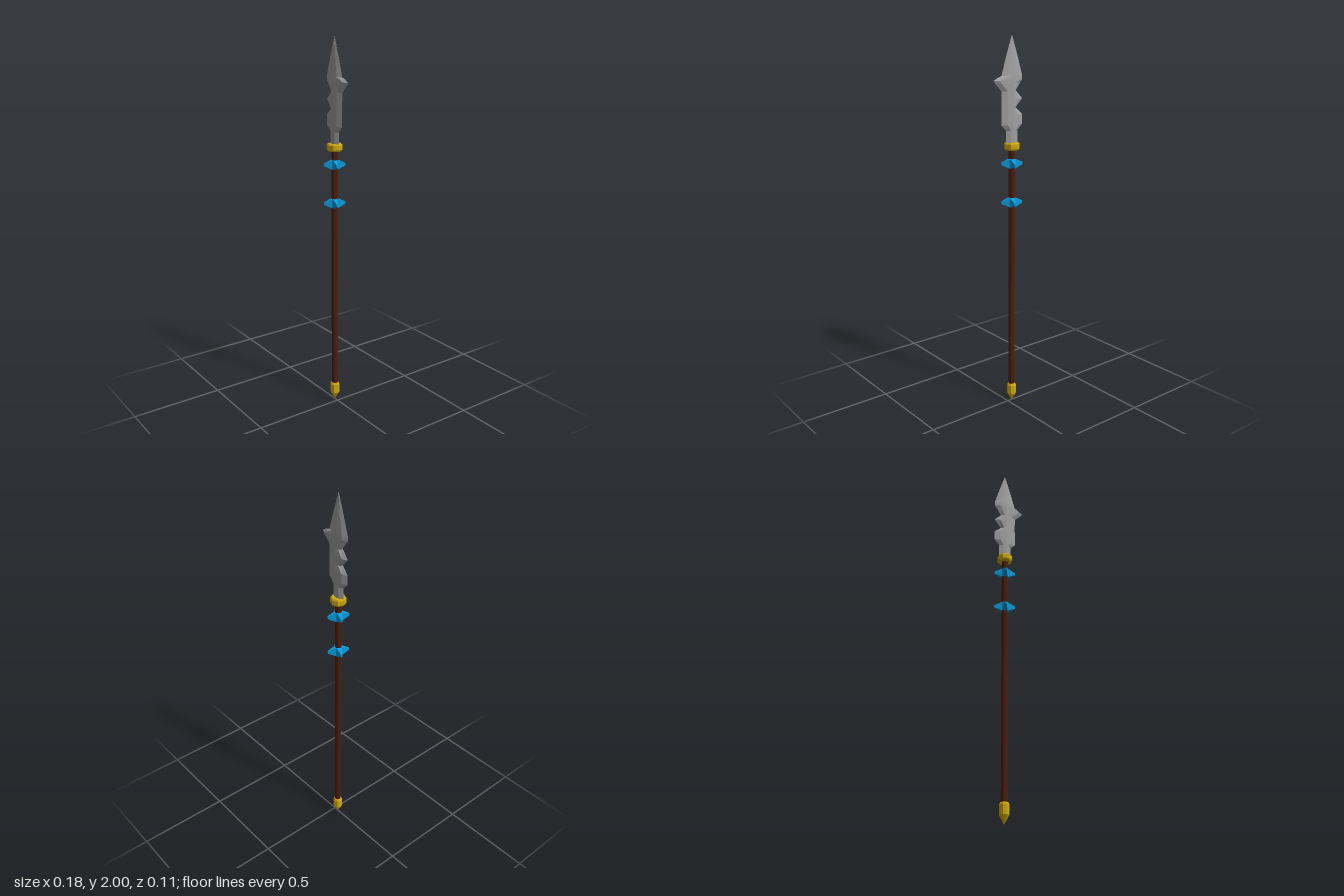
import * as THREE from 'three';

const AXIS_X = -0.026; // the shaft sits a little off centre because of the side barb

function material(name, color) {
  const m = new THREE.MeshStandardMaterial({ color });
  m.name = name;
  m.flatShading = true;
  return m;
}

// Lofted blade: each row is [y, left edge, right edge, half thickness]
function bladeGeometry() {
  const rows = [
    [1.455, -0.063, 0.011, 0.017],
    [1.525, -0.063, 0.011, 0.018],
    [1.555, -0.093, 0.04, 0.018],
    [1.605, -0.093, 0.04, 0.018],
    [1.642, -0.052, 0.04, 0.018],
    [1.685, -0.093, 0.04, 0.018],
    [1.727, -0.052, 0.042, 0.018],
    [1.766, -0.08, 0.08, 0.018],
    [1.78, -0.093, 0.09, 0.018],
    [1.795, -0.093, 0.063, 0.018],
    [1.803, -0.092, 0.04, 0.018],
    [1.9, -0.062, 0.01, 0.01],
    [2.0, -0.027, -0.025, 0.001],
  ];
  const pos = [], index = [], N = 8;
  for (const [y, l, r, d] of rows) {
    const bl = l + Math.min(0.03, (AXIS_X - l) * 0.55);
    const br = r - Math.min(0.03, (r - AXIS_X) * 0.55);
    const t = d * 0.75;
    const ring = [[l, 0], [bl, t], [AXIS_X, d], [br, t], [r, 0], [br, -t], [AXIS_X, -d], [bl, -t]];
    for (const [x, z] of ring) pos.push(x, y, z);
  }
  for (let i = 0; i < rows.length - 1; i++) {
    for (let j = 0; j < N; j++) {
      const a = i * N + j, b = i * N + (j + 1) % N;
      index.push(a, b, b + N, a, b + N, a + N);
    }
  }
  // end caps
  const top = (rows.length - 1) * N;
  for (let j = 1; j < N - 1; j++) {
    index.push(0, j + 1, j, top, top + j, top + j + 1);
  }
  const g = new THREE.BufferGeometry();
  g.setAttribute('position', new THREE.Float32BufferAttribute(pos, 3));
  g.setIndex(index);
  const flat = g.toNonIndexed();
  flat.computeVertexNormals();
  return flat;
}

export function createModel() {
  const steel = material('steel', 0xa0a0a0);
  const gold = material('gold', 0xd0aa10);
  const wood = material('darkWood', 0x4a1e0c);
  const blue = material('blue', 0x0a9cdc);

  const model = new THREE.Group();
  model.name = 'spear';
  const add = (parent, name, geometry, mat, x = 0, y = 0, z = 0) => {
    const mesh = new THREE.Mesh(geometry, mat);
    mesh.name = name;
    mesh.position.set(x, y, z);
    parent.add(mesh);
    return mesh;
  };
  const lathe = (points) =>
    new THREE.LatheGeometry(points.map(([r, y]) => new THREE.Vector2(r, y)), 8);

  add(model, 'blade', bladeGeometry(), steel);
  add(model, 'shaft', new THREE.CylinderGeometry(0.017, 0.017, 1.38, 8), wood, AXIS_X, 0.77);

  // Gold fittings at both ends of the shaft
  add(model, 'collar', lathe([[0, 1.426], [0.036, 1.426], [0.041, 1.434], [0.041, 1.458], [0.036, 1.465], [0, 1.465]]),
    gold, AXIS_X);
  add(model, 'buttCap', lathe([[0, 0], [0.026, 0.045], [0.026, 0.095], [0.021, 0.105], [0, 0.105]]), gold, AXIS_X);

  // Two blue bands, each with four blunt tapering spikes
  const spikeGeometry = new THREE.CylinderGeometry(0.0065, 0.0265, 0.043, 4, 1)
    .rotateY(Math.PI / 4)
    .rotateX(Math.PI / 2)
    .scale(0.7, 1.35, 1)
    .translate(0, 0, 0.0355);
  for (const [name, y] of [['upperBand', 1.355], ['lowerBand', 1.149]]) {
    const band = new THREE.Group();
    band.name = name;
    band.position.set(AXIS_X, y, 0);
    add(band, 'ring', new THREE.CylinderGeometry(0.022, 0.022, 0.038, 8), blue);
    for (let i = 0; i < 4; i++) {
      const spike = add(band, 'spike', spikeGeometry, blue);
      spike.rotation.y = -0.39 + i * Math.PI / 2;
    }
    model.add(band);
  }
  return model;
}
